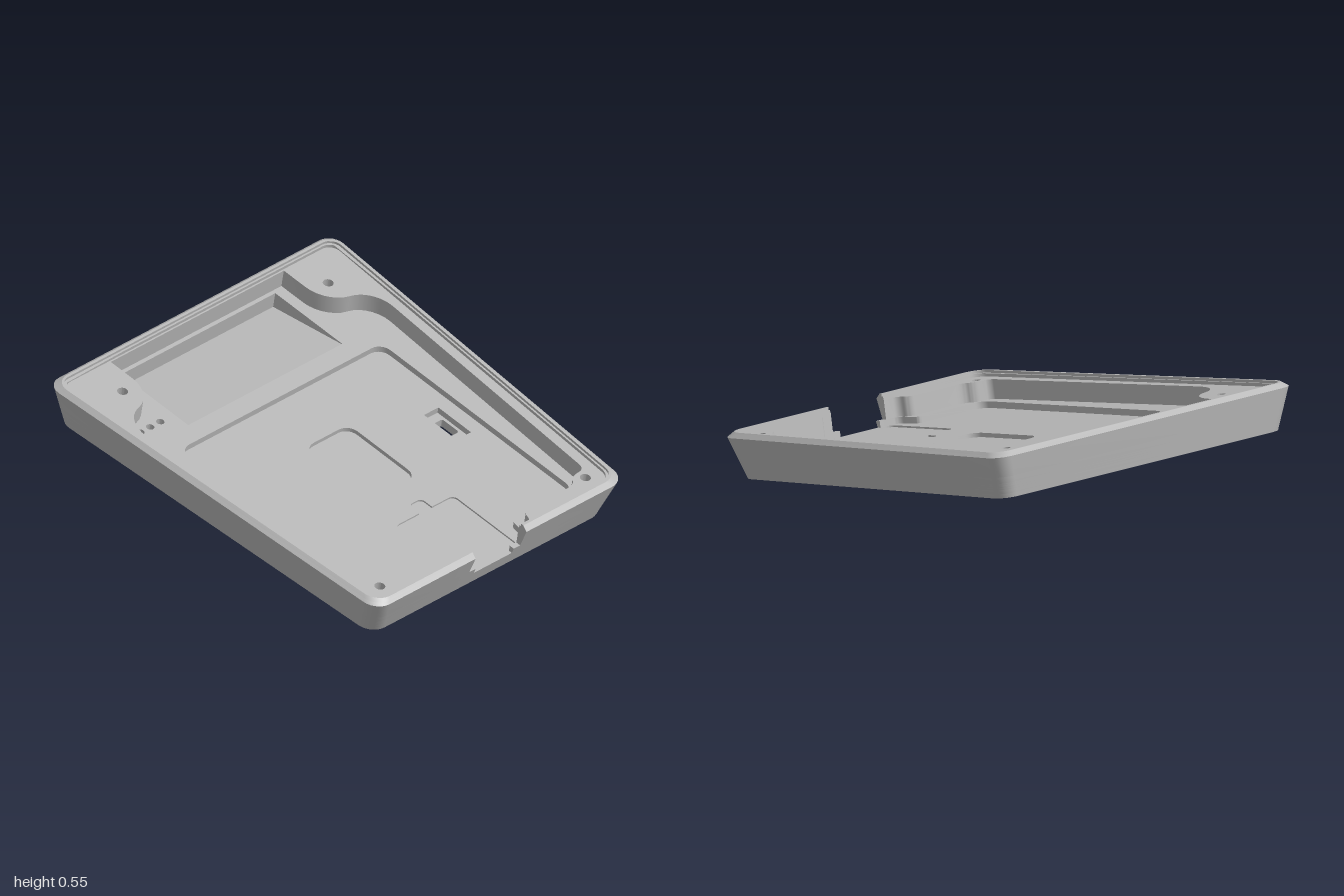
import * as THREE from 'three';
import { toCreasedNormals } from 'three/addons/utils/BufferGeometryUtils.js';

const V = (x, y) => new THREE.Vector2(x, y);
const TILT = THREE.MathUtils.degToRad(10);

// Path through [x, y, radius] corners with rounded bends; open paths keep their ends
function roundPath(corners, closed = false) {
  const n = corners.length, out = [];
  corners.forEach(([x, y, r = 0], i) => {
    const c = V(x, y);
    if (!r || (!closed && (i === 0 || i === n - 1))) return out.push(c);
    const toward = ([px, py]) => {
      const d = V(px, py).sub(c);
      return d.setLength(Math.min(r, d.length() * 0.49));
    };
    const a = toward(corners[(i + n - 1) % n]), b = toward(corners[(i + 1) % n]);
    const at = (d, k) => c.clone().addScaledVector(d, k);
    out.push(...new THREE.CubicBezierCurve(at(a, 1), at(a, 0.45), at(b, 0.45), at(b, 1)).getPoints(7));
  });
  return out;
}

// Trapezoid outline grown by off, starting and ending at the port in the right wall
function outline(off, port, r = 0.08) {
  const l = -0.995 - off, right = 0.934 + off, zl = 0.85 + off, zr = 0.733 + off;
  return roundPath([[right, port], [right, zr, r], [l, zl, r], [l, -zl, r], [right, -zr, r], [right, -port]]);
}

// Inner contour from half of its corners, mirrored front to back
const mirrored = (half) => roundPath([
  ...half.map(([x, y, r]) => [x, -y, r]),
  ...half.slice().reverse(),
]);

const rect = (x0, x1, z0, z1, r) =>
  roundPath([[x0, -z0, r], [x1, -z0, r], [x1, -z1, r], [x0, -z1, r]], true);
const circle = (x, z, r) => new THREE.Path().absarc(x, -z, r, 0, Math.PI * 2).getPoints(20).slice(0, -1);

// Horizontal slab whose outer wall leans from off0 at y0 to off1 at y1
function slab(y0, y1, off0, off1, port, holes, inner = []) {
  const a = outline(off0, port), b = outline(off1, port);
  const shape = new THREE.Shape([...a, ...inner]);
  shape.holes = holes.map((h) => new THREE.Path(h));
  const geo = new THREE.ExtrudeGeometry(shape, { depth: y1 - y0, bevelEnabled: false });
  const p = geo.attributes.position;
  for (let i = 0; i < p.count; i++) {
    if (p.getZ(i) < (y1 - y0) / 2) continue;
    const k = a.findIndex((q) => Math.hypot(q.x - p.getX(i), q.y - p.getY(i)) < 1e-5);
    if (k >= 0) p.setXY(i, b[k].x, b[k].y);
  }
  geo.rotateX(-Math.PI / 2).translate(0, y0, 0);
  return toCreasedNormals(geo, 0.5);
}

export function createModel() {
  const grey = new THREE.MeshStandardMaterial({ color: 0xb8b8b8 });
  grey.name = 'plain grey';
  const model = new THREE.Group();
  model.name = 'tiltedTray';
  const body = new THREE.Group();
  body.name = 'trayBody';
  body.rotation.z = -TILT;
  body.position.set(-0.004, 0.163, 0);
  model.add(body);
  const add = (name, geo) => {
    const m = new THREE.Mesh(geo, grey);
    m.name = name;
    body.add(m);
  };
  const flare = (y) => 0.05 * y / 0.195;
  const layer = (name, y0, y1, port, holes, inner) =>
    add(name, slab(y0, y1, flare(y0), flare(y1), port, holes, inner));

  // Openings
  const screws = (r) => [-0.81, 0.862].flatMap((x) => [-0.65, 0.645].map((z) => circle(x, z, r)));
  const bores = screws(0.025);
  const slotHole = rect(0.066, 0.175, -0.545, -0.485, 0.012);
  const slotPocket = rect(0.02, 0.232, -0.56, -0.47, 0);
  const sideBay = rect(-0.97, -0.535, -0.487, 0.483, 0);
  const centrePocket = rect(-0.134, 0.313, -0.143, 0.137, 0.06);
  const plugPocket = roundPath([
    [0.937, -0.185, 0.03], [0.937, 0.185, 0.03], [0.505, 0.185, 0.03], [0.505, 0.05],
    [0.435, 0.05, 0.025], [0.435, -0.03, 0.025], [0.505, -0.03], [0.505, -0.185, 0.03],
  ], true);
  const dimples = [0.57, 0.633, 0.695].map((z) => circle(-0.627, z, 0.019));
  const recess = mirrored([
    [0.933, 0.12], [0.933, 0.23, 0.03], [0.815, 0.25, 0.02], [0.815, 0.635, 0.05], [-0.434, 0.635, 0.06],
  ]);
  const mainPocket = mirrored([
    [0.935, 0.16], [0.935, 0.24, 0.03], [0.868, 0.25, 0.04], [0.868, 0.575, 0.04], [0.822, 0.6, 0.03],
    [0.812, 0.69, 0.03], [-0.66, 0.785, 0.14], [-0.71, 0.545, 0.14], [-0.99, 0.545],
  ]);

  // Floor, from the underside up
  layer('underside', 0, 0.02, 0.12, [...screws(0.036), slotHole]);
  layer('lowerFloor', 0.02, 0.04, 0.12, [...bores, sideBay, slotHole]);
  layer('slotFloor', 0.04, 0.05, 0.12, [...bores, sideBay, slotPocket]);
  layer('centreFloor', 0.05, 0.062, 0.12, [...bores, sideBay, slotPocket, centrePocket]);
  layer('plugFloor', 0.062, 0.07, 0.12, [...bores, sideBay, slotPocket, centrePocket, plugPocket]);
  layer('recessFloor', 0.07, 0.10, 0.12, [...bores, sideBay, ...dimples], recess);

  // Wall with corner bosses
  layer('wallAndBosses', 0.10, 0.19, 0.16, bores, mainPocket);

  // Stepped rim with a chamfered outer edge
  const lip = (off) => outline(off, 0.16, 0.06).reverse();
  layer('lowerRim', 0.19, 0.195, 0.16, [], lip(0.003));
  add('middleRim', slab(0.195, 0.205, 0.05, 0.039, 0.16, [], lip(0.003)));
  add('upperRim', slab(0.205, 0.217, 0.039, 0.026, 0.16, [], lip(0.012)));

  // Level floor of the side bay
  const wedge = new THREE.ExtrudeGeometry(
    new THREE.Shape([V(-0.97, 0.02), V(-0.535, 0.02), V(-0.535, 0.02 + 0.435 * Math.tan(TILT))]),
    { depth: 0.97, bevelEnabled: false });
  add('sideBayFloor', wedge.translate(0, 0, -0.487));

  return model;
}
